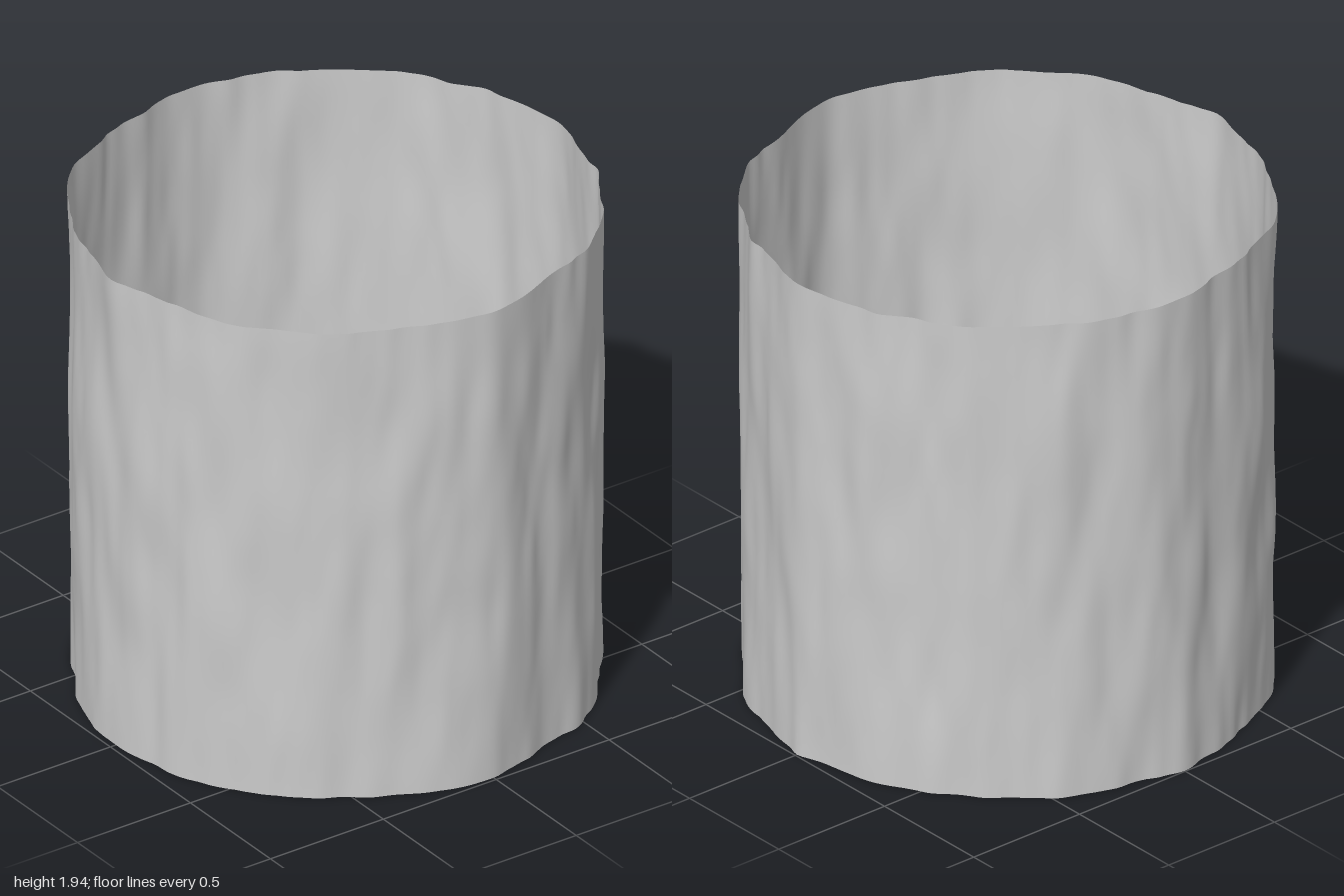
import * as THREE from 'three';

const HEIGHT = 1.94, AROUND = 288, ROWS = 48;

// Mean radius every 15 degrees, from +z towards +x
const PROFILE = [0.982, 0.955, 0.967, 0.961, 0.965, 0.957, 0.978, 0.973, 0.961, 0.965, 0.975, 0.97,
  0.983, 0.966, 0.975, 0.973, 0.962, 0.972, 0.976, 0.962, 0.97, 0.957, 0.955, 0.962];

const smooth = t => t * t * (3 - 2 * t);
const mix = THREE.MathUtils.lerp;

// Repeatable random value in -1..1 for a lattice point
function hash(i, j, seed) {
  const s = Math.sin(i * 127.1 + j * 311.7 + seed * 74.7) * 43758.5453;
  return (s - Math.floor(s)) * 2 - 1;
}

// Smooth noise that wraps around the trunk; u and v run 0..1
function noise(u, v, cols, rows, seed) {
  const x = u * cols, y = v * rows, i = Math.floor(x), j = Math.floor(y);
  const fx = smooth(x - i), fy = smooth(y - j);
  const at = (a, b) => hash((i + a) % cols, j + b, seed);
  return mix(mix(at(0, 0), at(1, 0), fx), mix(at(0, 1), at(1, 1), fx), fy);
}

// Radius of the bark: slow outline plus upright ridges
function barkRadius(u, v) {
  const n = PROFILE.length, i = Math.floor(u * n) % n;
  const base = mix(PROFILE[i], PROFILE[(i + 1) % n], smooth(u * n - Math.floor(u * n)));
  const ridges = 0.012 * noise(u, v, 36, 3, 1)
    + 0.009 * noise(u, v, 64, 5, 2)
    + 0.003 * noise(u, v, 120, 9, 3);
  return Math.min(base + ridges, 1);
}

export function createModel() {
  const group = new THREE.Group();
  group.name = 'hollowTrunk';

  // Open bark tube, pushed in and out along its radius
  const geometry = new THREE.CylinderGeometry(1, 1, HEIGHT, AROUND, ROWS, true);
  geometry.translate(0, HEIGHT / 2, 0);
  const pos = geometry.attributes.position;
  for (let k = 0; k < pos.count; k++) {
    const u = (k % (AROUND + 1)) % AROUND / AROUND;
    const y = pos.getY(k), r = barkRadius(u, y / HEIGHT), a = u * Math.PI * 2;
    pos.setXYZ(k, Math.sin(a) * r, y, Math.cos(a) * r);
  }
  geometry.computeVertexNormals();

  // Make the normals meet along the seam
  const normal = geometry.attributes.normal;
  const first = new THREE.Vector3(), last = new THREE.Vector3();
  for (let j = 0; j <= ROWS; j++) {
    const a = j * (AROUND + 1), b = a + AROUND;
    first.fromBufferAttribute(normal, a).add(last.fromBufferAttribute(normal, b)).normalize();
    normal.setXYZ(a, first.x, first.y, first.z);
    normal.setXYZ(b, first.x, first.y, first.z);
  }

  const bark = new THREE.Mesh(geometry,
    new THREE.MeshStandardMaterial({ color: 0xcccccc, side: THREE.DoubleSide }));
  bark.name = 'bark';
  group.add(bark);
  return group;
}
